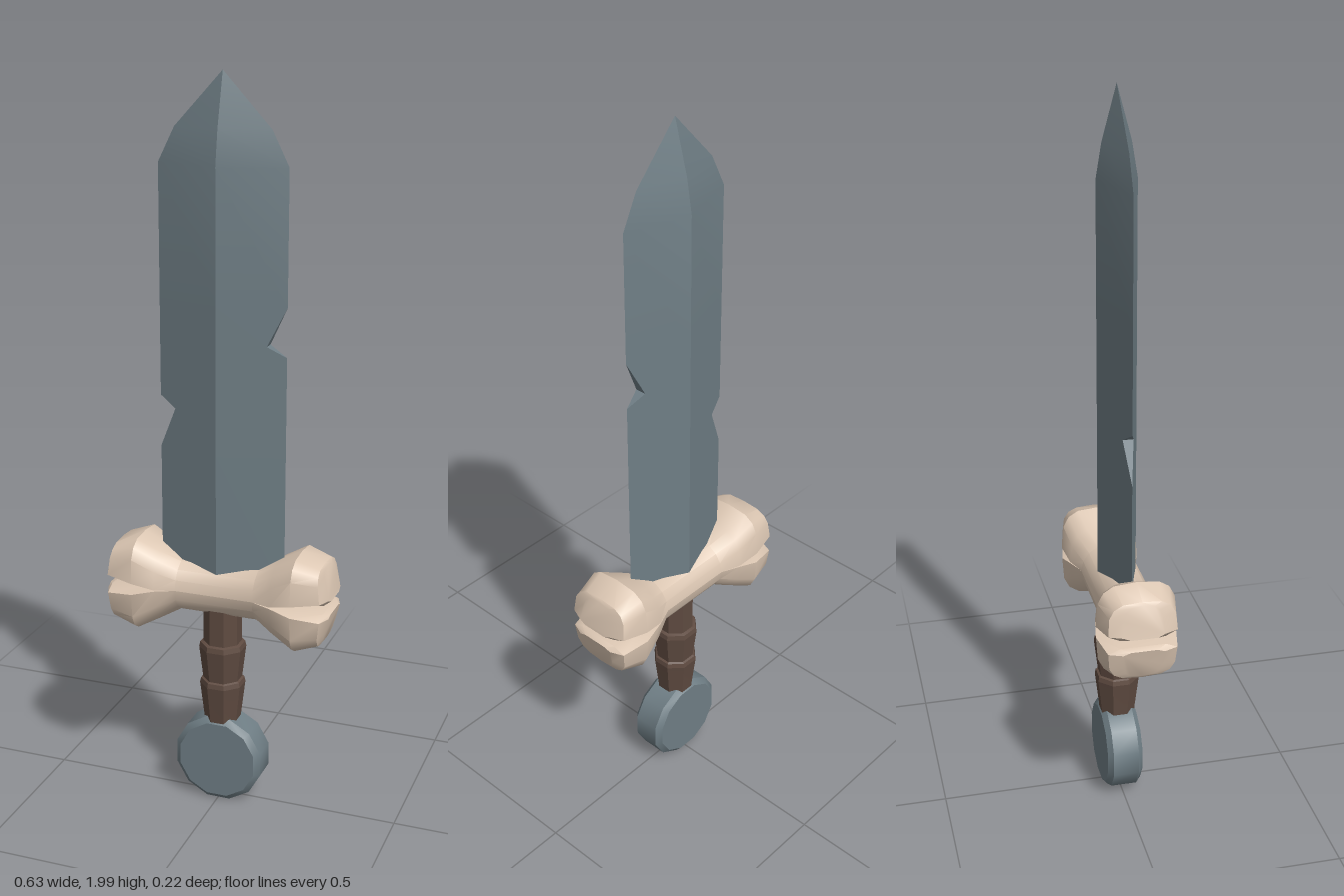
import * as THREE from 'three';
import { toCreasedNormals } from 'three/addons/utils/BufferGeometryUtils.js';

const mat = (name, color) => {
  const m = new THREE.MeshStandardMaterial({ color });
  m.name = name;
  return m;
};

// Skins a row of closed rings and caps both ends; edges sharper than crease stay hard
function loft(rings, crease) {
  const pos = [], tri = new THREE.Triangle();
  const add = (a, b, c) => {
    tri.set(a, b, c);
    if (tri.getArea() > 1e-8) for (const p of [a, b, c]) pos.push(p.x, p.y, p.z);
  };
  const n = rings[0].length, last = rings[rings.length - 1];
  for (let s = 0; s < rings.length - 1; s++) {
    const p = rings[s], q = rings[s + 1];
    for (let i = 0; i < n; i++) {
      const j = (i + 1) % n;
      add(p[i], q[i], q[j]);
      add(p[i], q[j], p[j]);
    }
  }
  for (let i = 1; i < n - 1; i++) {
    add(rings[0][0], rings[0][i], rings[0][i + 1]);
    add(last[0], last[i + 1], last[i]);
  }
  const g = new THREE.BufferGeometry();
  g.setAttribute('position', new THREE.Float32BufferAttribute(pos, 3));
  return toCreasedNormals(g, crease);
}

const lathe = (points, sides, crease) => {
  const g = new THREE.LatheGeometry(points.map(p => new THREE.Vector2(...p)), sides, Math.PI / sides);
  return toCreasedNormals(g, crease);
};

// Diamond section; nicks cut the edges without changing the slope of the faces
function bladeGeometry() {
  const W = 0.175, T = 0.053;
  const rows = [ // y, left edge, right edge, ridge height
    [0.64, W, W, T], [1.02, W, W, T], [1.13, 0.128, W, T], [1.16, W, W, T],
    [1.29, W, W, T], [1.318, W, 0.125, T], [1.42, W, W, T],
    [1.77, W, W, T], [1.86, 0.13, 0.13, 0.038], [2, 0, 0, 0],
  ];
  return loft(rows.map(([y, l, r, t]) => {
    const edge = x => (y < 1.7 ? T * (1 - x / W) : 0);
    const zl = edge(l), zr = edge(r);
    return [[r, zr], [0, t], [-l, zl], [-l, -zl], [0, -t], [r, -zr]]
      .map(([x, z]) => new THREE.Vector3(x, y, z));
  }), 0.35);
}

// Upper half of the bone: a round shaft swelling into a boxy knob at each end
function boneHalfGeometry() {
  const half = [ // x, half width, height, roundness, underside gap, side chamfer, end tilt
    [0.11, 0.076, 0.075, 1, 0, 0, 0],
    [0.165, 0.097, 0.104, 0.75, 0, 0.002, 0],
    [0.225, 0.108, 0.135, 0.6, 0.006, 0.016, 0],
    [0.304, 0.092, 0.112, 0.6, 0.012, 0.026, 0.014],
    [0.322, 0.055, 0.104, 0.6, 0.018, 0.026, 0.026],
  ];
  const ring = ([x, w, h, e, gap, chamfer, tilt], side) => {
    const pts = [];
    for (let i = 0; i <= 8; i++) {
      const a = i * Math.PI / 8, c = Math.cos(a), s = Math.max(0, Math.sin(a));
      pts.push([w * Math.sign(c) * Math.abs(c) ** e, chamfer + (h - chamfer) * s ** e]);
    }
    pts.push([-0.65 * w, gap], [0.65 * w, gap]);
    return pts.map(([z, y]) => new THREE.Vector3(side * (x - tilt * y / h), y, z));
  };
  return loft([...half.slice().reverse().map(s => ring(s, -1)), ...half.map(s => ring(s, 1))], 0.62);
}

export function createModel() {
  const steel = mat('steel', 0x6f7e85);
  const bone = mat('bone', 0xdcc7b3);
  const leather = mat('leather', 0x5f4b41);
  const model = new THREE.Group();
  model.name = 'sword';
  const add = (name, geometry, material, parent = model) => {
    const m = new THREE.Mesh(geometry, material);
    m.name = name;
    parent.add(m);
    return m;
  };

  add('blade', bladeGeometry(), steel);

  // Bone cross guard from two matching halves
  const guard = new THREE.Group();
  guard.name = 'guard';
  guard.position.y = 0.636;
  model.add(guard);
  const boneHalf = boneHalfGeometry();
  add('guardUpper', boneHalf, bone, guard);
  add('guardLower', boneHalf, bone, guard).rotation.x = Math.PI;

  // Grip with two flared wraps
  add('grip', lathe([
    [0.05, 0.24], [0.052, 0.26], [0.063, 0.352], [0.06, 0.365], [0.054, 0.368],
    [0.065, 0.46], [0.062, 0.474], [0.053, 0.477], [0.053, 0.6],
  ], 8, 0.3), leather);

  // Disc pommel facing front and back
  const pommel = add('pommel', lathe([
    [0, -0.05], [0.112, -0.05], [0.128, -0.036], [0.128, 0.036], [0.112, 0.05], [0, 0.05],
  ], 12, 0.55), steel);
  pommel.rotation.x = Math.PI / 2;
  pommel.position.y = 0.132;

  return model;
}
